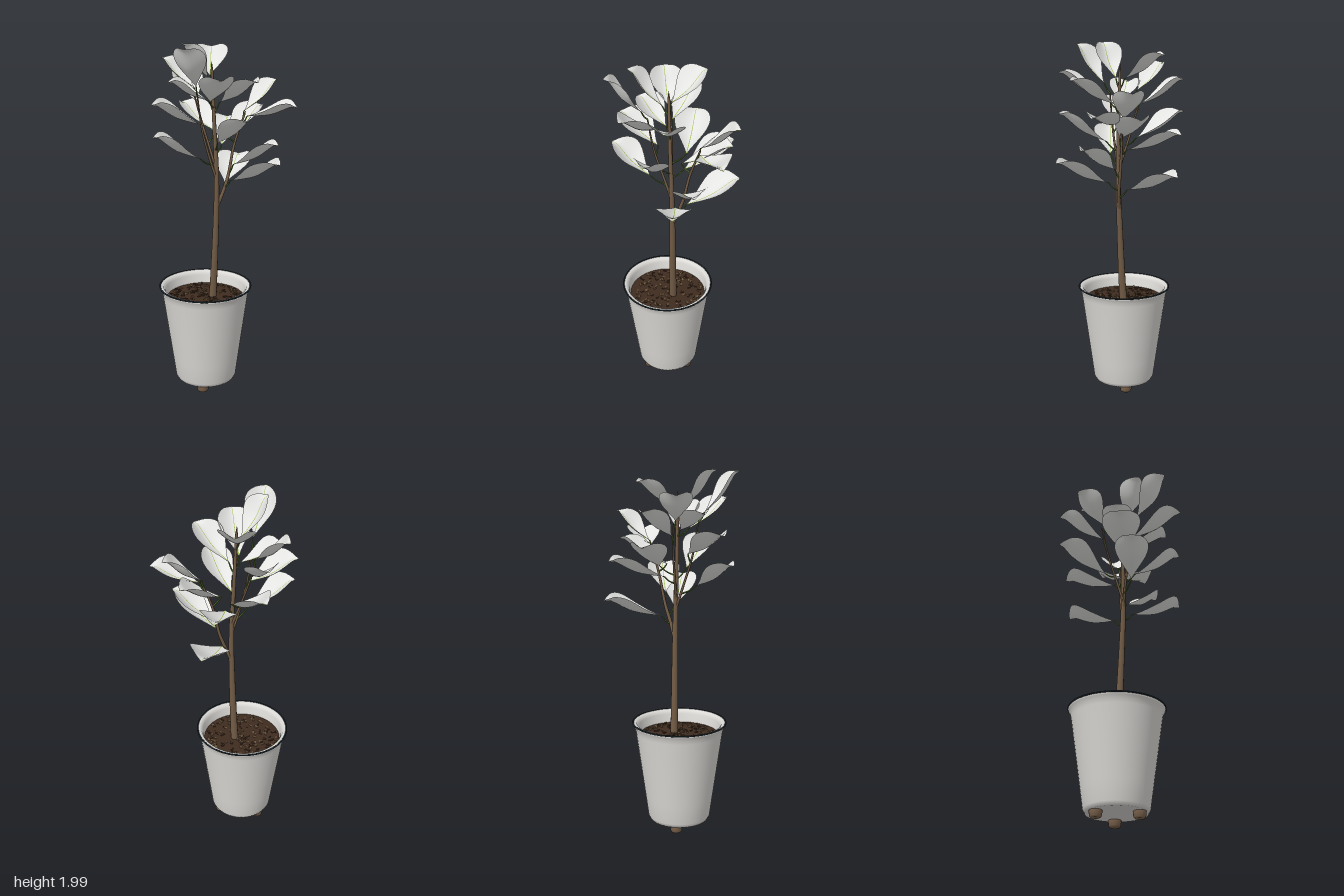
import * as THREE from 'three';

const V = (a) => new THREE.Vector3(...a);
const mat = (name, color, side = THREE.FrontSide) => {
  const m = new THREE.MeshStandardMaterial({ color, side });
  m.name = name;
  return m;
};
const lathe = (profile, sides) => new THREE.LatheGeometry(profile.map((p) => new THREE.Vector2(...p)), sides);

// Tube along a smooth curve, tapering from r0 to r1, with a closed tip
function taperTube(curve, r0, r1, segs, sides) {
  const g = new THREE.TubeGeometry(curve, segs, 1, sides, false);
  const p = g.attributes.position, c = new THREE.Vector3(), v = new THREE.Vector3();
  for (let i = 0; i < p.count; i++) {
    const t = Math.floor(i / (sides + 1)) / segs;
    curve.getPointAt(t, c);
    const r = t === 1 ? r1 * 0.1 : r0 + (r1 - r0) * t;
    v.fromBufferAttribute(p, i).sub(c).multiplyScalar(r).add(c);
    p.setXYZ(i, v.x, v.y, v.z);
  }
  return g;
}

// Point on a rising curve at a given height
function pointAtHeight(curve, y) {
  let best = curve.getPoint(0);
  for (let i = 1; i <= 60; i++) {
    const p = curve.getPoint(i / 60);
    if (Math.abs(p.y - y) < Math.abs(best.y - y)) best = p;
  }
  return best;
}

// Leaf sheet: a trough with raised edges, a slightly sagging spine and a
// tip that hooks down. widthAt(t) gives half width, lift raises the sheet.
function leafSheet(base, tip, widthAt, lift, cup, nu, nv) {
  const dir = tip.clone().sub(base);
  const side = new THREE.Vector3(-dir.z, 0, dir.x).normalize();
  const up = side.clone().cross(dir).normalize();
  if (up.y < 0) up.negate();
  const smooth = THREE.MathUtils.smoothstep;
  const pos = [], idx = [];
  for (let i = 0; i <= nu; i++) {
    const t = i / nu, w = widthAt(t);
    const hook = 0.014 * (smooth(t, 0.4, 0.88) - smooth(t, 0.88, 1));
    const spine = hook - 0.05 * dir.length() * Math.sin(Math.PI * t);
    for (let j = 0; j <= nv; j++) {
      const s = (j / nv) * 2 - 1;
      const p = base.clone().addScaledVector(dir, t).addScaledVector(side, s * w)
        .addScaledVector(up, spine + lift + cup * w * Math.abs(s) ** 1.5);
      pos.push(p.x, p.y, p.z);
      if (i < nu && j < nv) {
        const a = i * (nv + 1) + j, b = a + nv + 1;
        idx.push(a, a + 1, b, a + 1, b + 1, b);
      }
    }
  }
  const g = new THREE.BufferGeometry();
  g.setAttribute('position', new THREE.Float32BufferAttribute(pos, 3));
  g.setIndex(idx);
  g.computeVertexNormals();
  return g;
}

export function createModel() {
  const model = new THREE.Group();
  model.name = 'pottedPlant';
  const potMat = mat('pot white', 0xdedcd8, THREE.DoubleSide);
  const rimMat = mat('rim dark', 0x1f2a30);
  const footMat = mat('foot brown', 0x7a624c);
  const soilMat = mat('soil brown', 0x3f2c1f);
  const chipMat = mat('chip tan', 0x705a40);
  const barkMat = mat('bark brown', 0x725c46);
  const stalkMat = mat('stalk green', 0x56732f);
  const leafMat = mat('leaf pale', 0xe4e4e2, THREE.DoubleSide);
  const ribMat = mat('rib green', 0x9cba50, THREE.DoubleSide);
  const add = (parent, name, geo, m) => {
    const mesh = new THREE.Mesh(geo, m);
    mesh.name = name;
    parent.add(mesh);
    return mesh;
  };

  // Pot, rim, feet and soil share one centre
  const pot = new THREE.Group();
  pot.name = 'potGroup';
  pot.position.set(-0.118, 0, 0.017);
  model.add(pot);
  add(pot, 'pot', lathe([[0, 0.036], [0.163, 0.038], [0.175, 0.06], [0.19, 0.17], [0.215, 0.35],
    [0.243, 0.55], [0.248, 0.575], [0.256, 0.59], [0.26, 0.6], [0.252, 0.605], [0.238, 0.6],
    [0.228, 0.58], [0.214, 0.49]], 48), potMat);
  const rim = add(pot, 'rim', new THREE.TorusGeometry(0.259, 0.0048, 8, 48), rimMat);
  rim.rotation.x = Math.PI / 2;
  rim.position.y = 0.603;
  const footGeo = lathe([[0, 0], [0.025, 0], [0.031, 0.006], [0.035, 0.03], [0.033, 0.045]], 16);
  for (let i = 0; i < 3; i++) {
    const a = Math.PI / 2 + (i * Math.PI * 2) / 3;
    add(pot, 'foot', footGeo, footMat).position.set(0.128 * Math.cos(a), 0, 0.128 * Math.sin(a));
  }
  const soil = add(pot, 'soil', new THREE.CylinderGeometry(0.22, 0.215, 0.03, 40), soilMat);
  soil.position.y = 0.518;

  // Bark chips scattered over the soil
  let seed = 7;
  const rnd = () => (seed = (seed * 16807) % 2147483647) / 2147483647;
  for (let i = 0; i < 170; i++) {
    const r = 0.208 * Math.sqrt(rnd()), a = rnd() * Math.PI * 2;
    const chip = add(pot, 'barkChip', new THREE.BoxGeometry(0.018, 0.007, 0.009), i % 2 ? soilMat : chipMat);
    chip.position.set(r * Math.cos(a), 0.534, r * Math.sin(a));
    chip.rotation.set(rnd() * 0.6 - 0.3, rnd() * 6.3, rnd() * 0.6 - 0.3);
  }

  // Trunk and branches
  const curveOf = (pts) => new THREE.CatmullRomCurve3(pts.map(V));
  const stems = {
    T: curveOf([[-0.08, 0.5, 0], [-0.072, 0.62, 0.006], [-0.055, 1, 0.016], [-0.05, 1.25, 0.022],
      [-0.062, 1.55, 0.024], [-0.075, 1.88, 0.022]]),
    R: curveOf([[-0.052, 1.07, 0.016], [-0.02, 1.15, 0.005], [0.01, 1.25, -0.015], [0.04, 1.42, -0.04],
      [0.1, 1.6, -0.07]]),
    L: curveOf([[-0.05, 1.23, 0.022], [-0.085, 1.36, 0.05], [-0.12, 1.53, 0.09], [-0.14, 1.72, 0.115]]),
    B: curveOf([[-0.05, 1.28, 0.022], [-0.09, 1.4, 0], [-0.14, 1.55, -0.03], [-0.19, 1.72, -0.05]]),
  };
  const radii = { T: [0.022, 0.007], R: [0.011, 0.005], L: [0.008, 0.004], B: [0.008, 0.004] };
  for (const k in stems) {
    add(model, k === 'T' ? 'trunk' : 'branch', taperTube(stems[k], ...radii[k], 28, 10), barkMat);
  }

  // Leaves: stem, base of blade, tip, half width
  const leaves = [
    ['R', [0.11, 1.575, -0.055], [0.383, 1.63, -0.03], 0.096],
    ['R', [0.09, 1.6, -0.075], [0.264, 1.755, -0.206], 0.085],
    ['R', [0.0, 1.48, -0.01], [0.175, 1.61, -0.222], 0.096],
    ['R', [-0.015, 1.195, -0.05], [0.03, 1.293, -0.367], 0.108],
    ['T', [-0.03, 1.415, -0.04], [-0.036, 1.513, -0.361], 0.1],
    ['B', [-0.17, 1.65, -0.05], [-0.29, 1.79, -0.274], 0.09],
    ['B', [-0.07, 1.48, -0.08], [-0.288, 1.61, -0.272], 0.1],
    ['T', [-0.088, 1.8, 0], [-0.11, 1.93, -0.23], 0.096],
    ['B', [-0.18, 1.73, -0.035], [-0.372, 1.875, -0.112], 0.088],
    ['T', [-0.09, 1.67, 0.03], [-0.306, 1.77, 0.08], 0.088],
    ['L', [-0.13, 1.545, 0.06], [-0.383, 1.66, 0.155], 0.11],
    ['L', [-0.13, 1.37, 0.11], [-0.363, 1.5, 0.22], 0.095],
    ['L', [-0.14, 1.765, 0.15], [-0.172, 1.98, 0.343], 0.088],
    ['T', [-0.09, 1.8, 0.055], [-0.205, 1.99, 0.193], 0.08],
    ['T', [-0.075, 1.675, 0.09], [0.02, 1.83, 0.361], 0.092],
    ['T', [-0.035, 1.455, 0.09], [0.146, 1.615, 0.296], 0.092],
    ['T', [-0.03, 1.665, 0.035], [0.192, 1.8, 0.196], 0.094],
    ['R', [0.03, 1.235, 0.045], [0.312, 1.372, 0.221], 0.1],
    ['R', [0.04, 1.315, 0.0], [0.293, 1.445, 0.081], 0.093],
  ];
  // Outline is widest past the middle and closes to a short point
  const outline = (t) => Math.sin(Math.PI * t ** 1.45) ** 0.8 * (0.75 + 0.25 * t) * 1.08;
  for (const [k, b, t, w] of leaves) {
    const leaf = new THREE.Group();
    leaf.name = 'leaf';
    model.add(leaf);
    const base = V(b), tip = V(t);
    add(leaf, 'blade', leafSheet(base, tip, (u) => 0.001 + w * outline(Math.min(u, 0.9999)), 0, 0.52, 20, 8), leafMat);
    add(leaf, 'midrib', leafSheet(base, tip, (u) => 0.0024 - 0.0012 * u, 0.002, 0, 20, 1), ribMat);

    // Stalk joins the blade to its stem
    const root = pointAtHeight(stems[k], base.y - 0.05);
    const mid = root.clone().lerp(base, 0.55);
    mid.y -= 0.008;
    const inside = base.clone().lerp(tip, 0.03);
    inside.y -= 0.002;
    add(leaf, 'stalk', taperTube(new THREE.CatmullRomCurve3([root, mid, base, inside]), 0.005, 0.0032, 8, 6), stalkMat);
  }
  return model;
}
